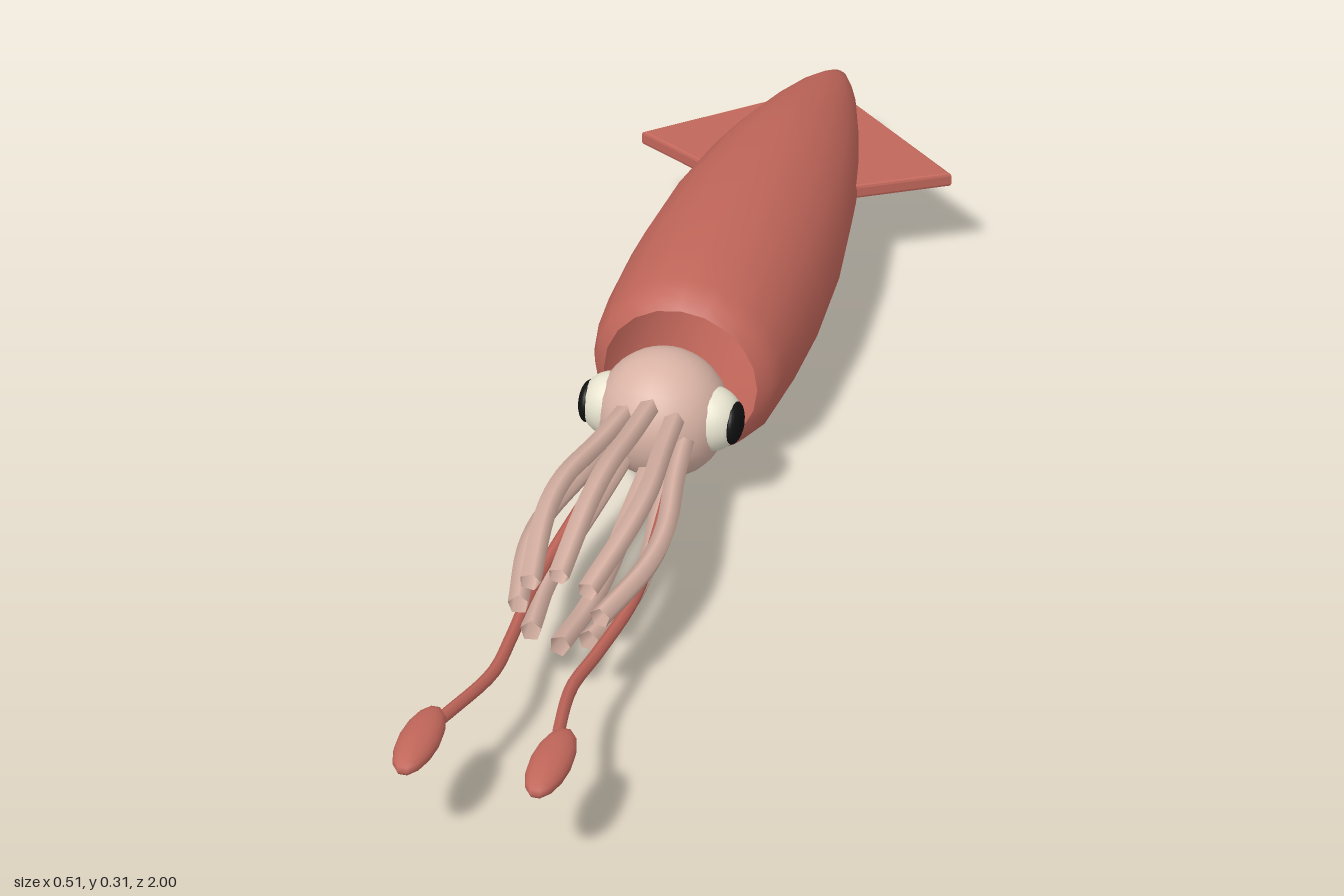
import * as THREE from 'three';

const mat = (color, side = THREE.FrontSide) => new THREE.MeshStandardMaterial({ color, side });
const V = (x, y, z) => new THREE.Vector3(x, y, z);
const AXIS_Y = 0.157; // height of the body axis

export function createModel() {
  const squid = new THREE.Group();
  squid.name = 'squid';
  const red = mat(0xc1665a), redOpen = mat(0xc1665a, THREE.DoubleSide);
  const skin = mat(0xd9b3a5), skinOpen = mat(0xd9b3a5, THREE.DoubleSide);
  const white = mat(0xe8e4d0), black = mat(0x111111);

  const add = (name, geometry, material, x = 0, y = 0, z = 0) => {
    const mesh = new THREE.Mesh(geometry, material);
    mesh.name = name;
    mesh.position.set(x, y, z);
    squid.add(mesh);
    return mesh;
  };
  const ellipsoid = (name, material, pos, size, w = 20, h = 14) => {
    const mesh = add(name, new THREE.SphereGeometry(1, w, h), material, ...pos);
    mesh.scale.set(...size);
    return mesh;
  };

  // Mantle: hollow lathe, pointed at the back and open at the front
  const profile = [
    [0, -1], [0.02, -0.985], [0.036, -0.95], [0.055, -0.9], [0.084, -0.8], [0.108, -0.7],
    [0.127, -0.6], [0.147, -0.44], [0.155, -0.27], [0.152, -0.14], [0.146, -0.065],
    [0.136, -0.035], [0.118, -0.02],
  ].map(([r, z]) => new THREE.Vector2(r, z));
  const mantle = new THREE.LatheGeometry(profile, 20).rotateX(Math.PI / 2);
  add('mantle', mantle, redOpen, 0, AXIS_Y, 0);

  // Head
  ellipsoid('head', skin, [0, AXIS_Y, 0.073], [0.098, 0.098, 0.097], 24, 16);

  for (const s of [1, -1]) {
    const side = s > 0 ? 'left' : 'right';

    // Fin: flat triangle with a slim bevel
    const shape = new THREE.Shape([[0.045, -0.9], [0.25, -0.71], [0.09, -0.617]]
      .map(([x, z]) => new THREE.Vector2(s * x, -z)));
    const fin = new THREE.ExtrudeGeometry(shape, {
      depth: 0.014, bevelEnabled: true, bevelSize: 0.005, bevelThickness: 0.005, bevelSegments: 2,
    }).translate(0, 0, -0.007).rotateX(-Math.PI / 2);
    add(side + 'Fin', fin, red, 0, AXIS_Y, 0);

    // Eye and pupil
    ellipsoid(side + 'Eye', white, [s * 0.074, 0.164, 0.08], [0.048, 0.049, 0.048]);
    ellipsoid(side + 'Pupil', black, [s * 0.11, 0.164, 0.083], [0.014, 0.032, 0.032]);

    // Long feeding tentacle with its club
    const path = new THREE.CatmullRomCurve3([
      V(s * 0.04, 0.135, 0.14), V(s * 0.06, 0.122, 0.3), V(s * 0.072, 0.111, 0.47),
      V(s * 0.062, 0.117, 0.62), V(s * 0.056, 0.13, 0.72), V(s * 0.075, 0.15, 0.84),
      V(s * 0.088, 0.159, 0.9),
    ]);
    add(side + 'Tentacle', new THREE.TubeGeometry(path, 28, 0.009, 6), redOpen);
    ellipsoid(side + 'Club', red, [s * 0.09, 0.16, 0.926], [0.028, 0.019, 0.074], 14, 10);
  }

  // Ring of eight arms that bow outwards and close in at the tips
  for (let i = 0; i < 8; i++) {
    const a = (i * Math.PI) / 4;
    const path = new THREE.CatmullRomCurve3(
      [[0.05, 0.13], [0.065, 0.24], [0.087, 0.37], [0.086, 0.46], [0.058, 0.595]]
        .map(([r, z]) => V(Math.cos(a) * r, AXIS_Y + Math.sin(a) * r, z)));
    add('arm' + (i + 1), new THREE.TubeGeometry(path, 18, 0.0155, 5), skinOpen);
  }
  return squid;
}
